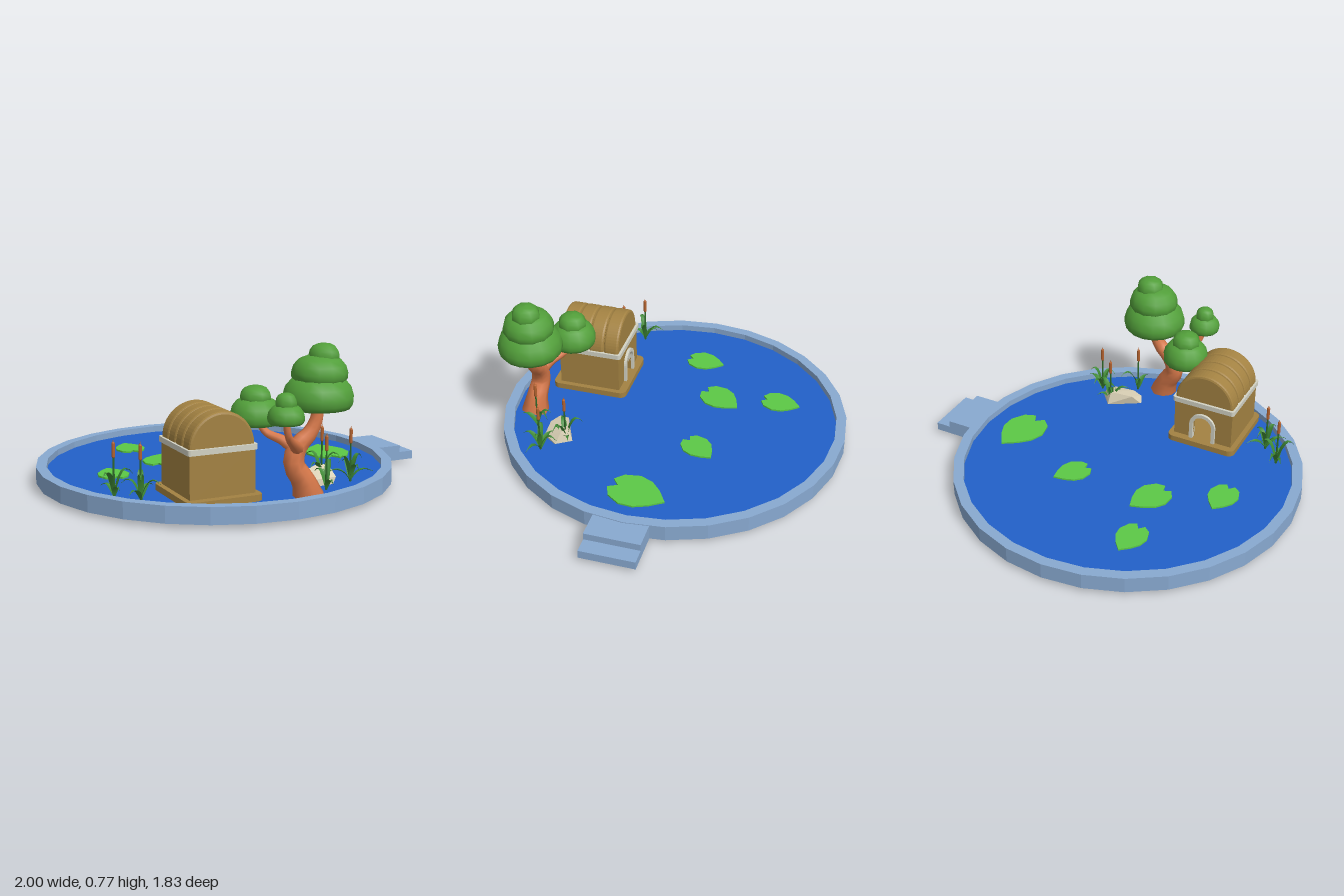
import * as THREE from 'three';
import { ConvexGeometry } from 'three/addons/geometries/ConvexGeometry.js';

const V = (x, y, z) => new THREE.Vector3(x, y, z);
const mat = (color, o = {}) => new THREE.MeshStandardMaterial({ color, ...o });
const M = {
  stone: mat(0x88a9d0, { flatShading: true }),
  water: mat(0x2260c8),
  lily: mat(0x5cc846),
  wood: mat(0xa38242),
  trim: mat(0xd2d2c4),
  bark: mat(0xd8794a),
  foliage: mat(0x529f3a),
  blade: mat(0x3f8a35, { side: THREE.DoubleSide }),
  stem: mat(0x2f6b2a),
  cattail: mat(0xb5632f),
  rock: mat(0xddd3b8, { flatShading: true }),
};

function add(parent, name, geometry, material, x = 0, y = 0, z = 0) {
  const mesh = new THREE.Mesh(geometry, material);
  mesh.name = name;
  mesh.position.set(x, y, z);
  parent.add(mesh);
  return mesh;
}

function group(parent, name, x = 0, y = 0, z = 0) {
  const g = new THREE.Group();
  g.name = name;
  g.position.set(x, y, z);
  parent.add(g);
  return g;
}

const extrude = (shape, depth, o = {}) =>
  new THREE.ExtrudeGeometry(shape, { depth, bevelEnabled: false, curveSegments: 10, ...o });

// Flat slab with rounded corners, its underside on y = 0
function roundedSlab(w, d, h, r) {
  const s = new THREE.Shape();
  const a = w / 2 - r, b = d / 2 - r;
  s.absarc(a, b, r, 0, Math.PI / 2);
  s.absarc(-a, b, r, Math.PI / 2, Math.PI);
  s.absarc(-a, -b, r, Math.PI, Math.PI * 1.5);
  s.absarc(a, -b, r, Math.PI * 1.5, Math.PI * 2);
  return extrude(s, h, { curveSegments: 4 }).rotateX(-Math.PI / 2);
}

// Arched outline standing on y = 0
function arch(path, r, straight) {
  path.moveTo(-r, 0);
  path.lineTo(r, 0);
  path.lineTo(r, straight);
  path.absarc(0, straight, r, 0, Math.PI);
  path.lineTo(-r, 0);
  return path;
}

// Tube along a curve whose radius follows a list of values
function taperedTube(points, radii, segs = 14, sides = 9) {
  const curve = new THREE.CatmullRomCurve3(points.map(p => V(...p)));
  const geo = new THREE.TubeGeometry(curve, segs, 1, sides);
  const pos = geo.attributes.position, v = V();
  for (let i = 0; i < pos.count; i++) {
    const t = Math.floor(i / (sides + 1)) / segs;
    const k = t * (radii.length - 1), j = Math.min(Math.floor(k), radii.length - 2);
    const c = curve.getPointAt(t);
    v.fromBufferAttribute(pos, i).sub(c)
      .multiplyScalar(THREE.MathUtils.lerp(radii[j], radii[j + 1], k - j)).add(c);
    pos.setXYZ(i, v.x, v.y, v.z);
  }
  return geo;
}

// Puffy dome with a flat underside
function dome(r, h, sides) {
  const profile = [[0, 0], [0.9, 0], [0.99, 0.14], [1, 0.34], [0.93, 0.6], [0.74, 0.83], [0.42, 0.96], [0, 1]];
  return new THREE.LatheGeometry(profile.map(([a, b]) => new THREE.Vector2(a * r, b * h)), sides);
}

function buildPond(root) {
  const pond = group(root, 'pond', -0.1, 0, -0.02);
  const rim = [[0.9, 0.018], [0.9, 0.1], [0.848, 0.1], [0.848, 0.03]].map(p => new THREE.Vector2(...p));
  add(pond, 'rim', new THREE.LatheGeometry(rim, 28), M.stone);
  add(pond, 'water', new THREE.CylinderGeometry(0.892, 0.892, 0.047, 28), M.water, 0, 0.0435, 0);

  // Two steps on the left side
  const s = new THREE.Shape([[0.765, 0.017], [1, 0.017], [1, 0.06], [0.92, 0.06], [0.92, 0.096], [0.765, 0.096]]
    .map(p => new THREE.Vector2(...p)));
  add(root, 'steps', extrude(s, 0.28), M.stone, 0, 0, -0.145);

  // Heart-shaped lily pads: x, z, length, turn
  const half = [[0.2, 0.33], [0.34, 0.12], [0.38, -0.12], [0.28, -0.37], [0.11, -0.48]];
  const outline = [[0, 0.53], ...half, [0, -0.34], ...half.map(([x, y]) => [-x, y]).reverse()];
  const heart = new THREE.Shape(outline.map(p => new THREE.Vector2(...p)));
  const pads = [[-0.37, -0.53, 0.205, -0.1], [-0.32, -0.21, 0.235, -0.5], [0.125, -0.205, 0.2, -0.65],
    [-0.64, -0.045, 0.205, -0.08], [0.545, -0.005, 0.3, -0.22]];
  for (const [x, z, len, turn] of pads) {
    const pad = add(root, 'lilyPad', extrude(heart, 0.01).rotateX(-Math.PI / 2), M.lily, x, 0.066, z);
    pad.scale.set(len, 1, len);
    pad.rotation.y = turn;
  }
}

function buildHouse(root) {
  const house = group(root, 'house', -0.367, 0, 0.49);
  const w = 0.325, d = 0.33, y0 = 0.097, h = 0.21, t = 0.02;
  add(house, 'plinth', roundedSlab(0.378, 0.41, 0.042, 0.035), M.wood, 0, 0.056, 0);
  for (const s of [-1, 1])
    add(house, 'sideWall', new THREE.BoxGeometry(t, h, d), M.wood, s * (w - t) / 2, y0 + h / 2, 0);
  add(house, 'frontWall', new THREE.BoxGeometry(w - 2 * t, h, t), M.wood, 0, y0 + h / 2, (d - t) / 2);

  // Back wall with an open arched doorway and its frame
  const wall = new THREE.Shape([[-w / 2, 0], [w / 2, 0], [w / 2, h], [-w / 2, h]].map(p => new THREE.Vector2(...p)));
  const frame = arch(new THREE.Shape(), 0.072, 0.09);
  for (const s of [wall, frame]) s.holes.push(arch(new THREE.Path(), 0.053, 0.09));
  add(house, 'doorWall', extrude(wall, t), M.wood, 0, y0, -d / 2);
  add(house, 'doorFrame', extrude(frame, 0.03), M.trim, 0, y0, -d / 2 - 0.014);
  add(house, 'trimBand', roundedSlab(0.345, 0.355, 0.026, 0.015), M.trim, 0, 0.302, 0);

  // Barrel roof in four rounded ribs
  const b = 0.012, rib = 0.082;
  const halfDisc = new THREE.Shape();
  halfDisc.absarc(0, 0, 0.162 - b, 0, Math.PI);
  for (let i = 0; i < 4; i++)
    add(house, 'roofRib', extrude(halfDisc, rib - 2 * b,
      { bevelEnabled: true, bevelSize: b, bevelThickness: b, bevelSegments: 2, curveSegments: 16 }),
    M.wood, 0, 0.325, -2 * rib + i * rib + b);
}

function buildTree(root) {
  const tree = group(root, 'tree');
  add(tree, 'trunk', taperedTube([[0.04, 0.06, 0.715], [0.015, 0.14, 0.71], [-0.03, 0.22, 0.7], [-0.01, 0.3, 0.695],
    [0.055, 0.36, 0.695], [0.09, 0.43, 0.695], [0.095, 0.53, 0.695]], [0.075, 0.055, 0.05, 0.047, 0.036, 0.029, 0.025]), M.bark);
  add(tree, 'rightBranch', taperedTube([[-0.01, 0.28, 0.695], [-0.06, 0.325, 0.65], [-0.12, 0.36, 0.59], [-0.15, 0.43, 0.56]],
    [0.034, 0.024, 0.018, 0.016]), M.bark);
  add(tree, 'frontBranch', taperedTube([[-0.01, 0.29, 0.7], [-0.06, 0.325, 0.76], [-0.12, 0.38, 0.815], [-0.145, 0.47, 0.83]],
    [0.034, 0.024, 0.017, 0.015]), M.bark);

  // Foliage tiers: x, y, z, radius, height, sides
  const tiers = [
    [0.096, 0.475, 0.69, 0.165, 0.16, 16], [0.103, 0.595, 0.69, 0.13, 0.125, 12], [0.125, 0.685, 0.69, 0.073, 0.085, 8],
    [-0.155, 0.397, 0.555, 0.12, 0.13, 14], [-0.155, 0.495, 0.555, 0.075, 0.08, 8],
    [-0.143, 0.447, 0.83, 0.083, 0.09, 12], [-0.143, 0.515, 0.83, 0.05, 0.07, 8],
  ];
  for (const [x, y, z, r, h, n] of tiers) add(tree, 'foliage', dome(r, h, n), M.foliage, x, y, z);
}

// Arching leaf blade, pointing along +z
function bladeGeometry(len, rise) {
  const geo = new THREE.PlaneGeometry(1, 1, 2, 6);
  const p = geo.attributes.position;
  for (let i = 0; i < p.count; i++) {
    const t = p.getY(i) + 0.5, side = p.getX(i);
    const width = 0.008 + 0.024 * Math.sin(Math.PI * Math.pow(t, 0.8));
    p.setXYZ(i, side * width * (1 - t * t * t),
      rise * Math.sin(t * 2.2) + Math.abs(side) * width * 0.4, len * Math.pow(t, 1.3));
  }
  geo.computeVertexNormals();
  return geo;
}

function buildReeds(root) {
  // x, z, number of leaves
  const plants = [[-0.775, 0.35, 5], [-0.68, 0.445, 6], [0.17, 0.65, 3], [0.25, 0.465, 5], [0.352, 0.565, 6]];
  plants.forEach(([x, z, n], k) => {
    const reed = group(root, 'reed', x, 0.065, z);
    add(reed, 'stem', new THREE.CylinderGeometry(0.004, 0.006, 0.2, 6), M.stem, 0, 0.1, 0);
    add(reed, 'cattailHead', new THREE.CapsuleGeometry(0.0085, 0.06, 3, 8), M.cattail, 0, 0.225, 0);
    add(reed, 'cattailTip', new THREE.ConeGeometry(0.003, 0.015, 6), M.cattail, 0, 0.269, 0);
    for (let i = 0; i < n; i++) {
      const long = (i + k) % 3;
      add(reed, 'leaf', bladeGeometry(0.075 + 0.018 * long, 0.06 + 0.035 * ((i * 2 + k) % 3)), M.blade)
        .rotation.y = (i + 0.25 * long) * Math.PI * 2 / n + k * 0.7;
    }
  });
}

function buildRock(root) {
  const points = [[0.09, 0.06, 0.53], [0.1, 0.1, 0.55], [0.13, 0.12, 0.49], [0.24, 0.142, 0.45], [0.28, 0.135, 0.48],
    [0.31, 0.08, 0.5], [0.25, 0.07, 0.43], [0.27, 0.1, 0.57], [0.16, 0.1, 0.58], [0.21, 0, 0.59], [0.15, 0.02, 0.55]];
  add(root, 'rock', new ConvexGeometry(points.map(p => V(...p))), M.rock);
}

export function createModel() {
  const root = new THREE.Group();
  root.name = 'pondGarden';
  buildPond(root);
  buildHouse(root);
  buildTree(root);
  buildReeds(root);
  buildRock(root);
  return root;
}
